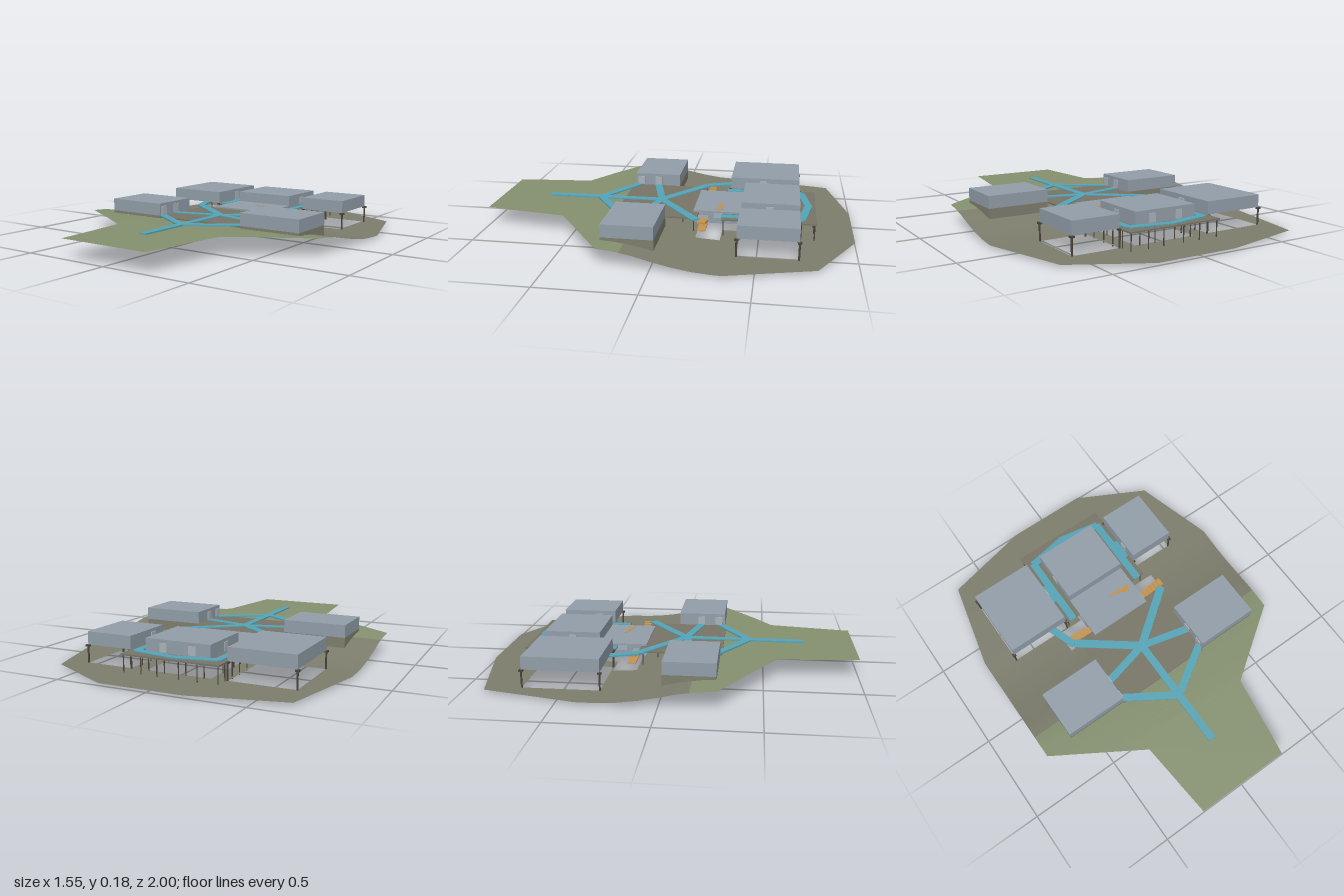
import * as THREE from 'three';

const mat = (name, color, side = THREE.FrontSide) => {
  const m = new THREE.MeshStandardMaterial({ color, side });
  m.name = name;
  return m;
};

// Piecewise-linear lookup in [[key, value], ...]
function lookup(table, k) {
  for (let i = 1; i < table.length; i++) {
    const [k0, v0] = table[i - 1], [k1, v1] = table[i];
    if (k <= k1) return v0 + (v1 - v0) * Math.max(0, (k - k0) / (k1 - k0));
  }
  return table[table.length - 1][1];
}

const LEFT_EDGE = [[-1, -0.19], [-0.89, -0.67], [-0.4, -0.78], [0.28, -0.78], [0.57, -0.31], [1, -0.27]];
const RIGHT_EDGE = [[-1, 0.26], [-0.8, 0.64], [-0.35, 0.77], [0.27, 0.73], [0.55, 0.33], [1, 0.26]];
const SLOPE = [[-1, 0.012], [-0.3, 0.012], [-0.2, 0.018], [-0.1, 0.032], [0, 0.052], [0.1, 0.075],
  [0.2, 0.089], [0.3, 0.096], [0.45, 0.102], [1, 0.102]];
const height = z => lookup(SLOPE, z);

// Openings in the ground: x0, x1, z0, z1
const HOLES = [
  [-0.62, -0.27, 0, 0.27], [0.27, 0.62, 0, 0.27],
  [-0.62, -0.27, -0.71, -0.31], [0.27, 0.53, -0.71, -0.4],
  [-0.18, 0.18, -0.71, -0.3], [-0.33, 0.33, -0.3, -0.17],
];

// Ground between two z values, sliced into strips that skip the openings
function groundGeometry(zMin, zMax) {
  const cuts = [zMin, zMax, ...HOLES.flatMap(h => [h[2], h[3]]),
    ...LEFT_EDGE.map(p => p[0]), ...RIGHT_EDGE.map(p => p[0])];
  for (let i = 0; i <= 32; i++) cuts.push(-0.35 + i * 0.025);
  const zs = [...new Set(cuts.map(z => +z.toFixed(4)))].filter(z => z >= zMin && z <= zMax).sort((a, b) => a - b);
  const pos = [], nor = [];
  const put = (x, z) => {
    pos.push(x, height(z), z);
    const n = new THREE.Vector3(0, 1, -(height(z + 0.03) - height(z - 0.03)) / 0.06).normalize();
    nor.push(n.x, n.y, n.z);
  };
  for (let i = 1; i < zs.length; i++) {
    const z0 = zs[i - 1], z1 = zs[i], mid = (z0 + z1) / 2;
    const bounds = [[lookup(LEFT_EDGE, z0), lookup(LEFT_EDGE, z1)]];
    HOLES.filter(h => h[2] < mid && h[3] > mid).sort((a, b) => a[0] - b[0])
      .forEach(h => bounds.push([h[0], h[0]], [h[1], h[1]]));
    bounds.push([lookup(RIGHT_EDGE, z0), lookup(RIGHT_EDGE, z1)]);
    for (let b = 0; b < bounds.length; b += 2) {
      const [a0, a1] = bounds[b], [b0, b1] = bounds[b + 1];
      put(a0, z0); put(a1, z1); put(b1, z1);
      put(a0, z0); put(b1, z1); put(b0, z0);
    }
  }
  const g = new THREE.BufferGeometry();
  g.setAttribute('position', new THREE.Float32BufferAttribute(pos, 3));
  g.setAttribute('normal', new THREE.Float32BufferAttribute(nor, 3));
  return g;
}

export function createModel() {
  const model = new THREE.Group();
  const grass = mat('grass green', 0x84906f, THREE.DoubleSide);
  const earth = mat('earth brown', 0x7d7d6d, THREE.DoubleSide);
  const deckMat = mat('deck brown', 0x777466);
  const blueGrey = mat('building blue grey', 0x919da8);
  const teal = mat('path teal', 0x55a3b5);
  const orange = mat('stair orange', 0xc2924f);
  const dark = mat('post dark brown', 0x4a453c);
  const pale = mat('door pale grey', 0xa9b2b8);

  const add = (name, geometry, material) => {
    const m = new THREE.Mesh(geometry, material);
    m.name = name;
    model.add(m);
    return m;
  };
  const box = (name, material, x0, x1, y0, y1, z0, z1) => {
    const m = add(name, new THREE.BoxGeometry(x1 - x0, y1 - y0, z1 - z0), material);
    m.position.set((x0 + x1) / 2, (y0 + y1) / 2, (z0 + z1) / 2);
    return m;
  };

  // Ground
  add('lowerGround', groundGeometry(-1, 0.15), earth);
  add('upperGround', groundGeometry(0.15, 1), grass);

  // Main buildings
  const blocks = [[-0.62, -0.27, 0, 0.27], [0.27, 0.62, 0, 0.27],
    [-0.62, -0.27, -0.71, -0.31], [0.27, 0.53, -0.71, -0.4], [-0.18, 0.18, -0.71, -0.4]];
  for (const [x0, x1, z0, z1] of blocks) box('building', blueGrey, x0, x1, 0.108, 0.177, z0, z1);

  // Skirts under the two front buildings, meeting the slope
  const skirt = new THREE.Shape();
  skirt.moveTo(0, 0.108);
  for (let i = 0; i <= 9; i++) skirt.lineTo(-i * 0.03, height(i * 0.03));
  skirt.lineTo(-0.27, 0.108);
  for (const s of [-1, 1]) {
    for (const x of [0.27, 0.62]) {
      const side = add('foundationSide', new THREE.ShapeGeometry(skirt), earth);
      side.rotation.y = Math.PI / 2;
      side.position.x = s * x;
    }
    const c = s * 0.445;
    box('foundationBack', earth, c - 0.175, c + 0.175, 0.048, 0.108, 0, 0.004);
    box('foundationFront', earth, c - 0.175, c + 0.175, 0.094, 0.108, 0.266, 0.27);
  }

  // Decks
  box('frontDeck', deckMat, -0.27, 0.27, 0.1, 0.108, -0.17, 0.28);
  box('backDeck', deckMat, -0.27, 0.27, 0.1, 0.108, -0.8, -0.71);
  for (const s of [-1, 1]) {
    box('sideDeck', deckMat, s * 0.225 - 0.045, s * 0.225 + 0.045, 0.1, 0.108, -0.71, -0.3);
  }

  // Sunken hall between the decks
  box('hallRoof', blueGrey, -0.18, 0.18, 0.11, 0.118, -0.4, -0.14);
  box('hallFloor', blueGrey, -0.18, 0.18, 0.051, 0.058, -0.4, -0.14);
  for (const s of [-1, 1]) {
    const wall = (y0, y1, z0, z1) =>
      box('hallWall', blueGrey, s * 0.177 - 0.003, s * 0.177 + 0.003, y0, y1, z0, z1);
    wall(0.058, 0.11, -0.4, -0.31);
    wall(0.058, 0.08, -0.31, -0.25);
    wall(0.058, 0.11, -0.25, -0.22);
    wall(0.095, 0.11, -0.22, -0.14);

    // Stairs descending into the hall
    const steps = 8;
    for (let i = 0; i < steps; i++) {
      const x = s * (0.315 - i * 0.024), y = 0.105 - i * 0.0062;
      box('stairStep', orange, x - 0.0125, x + 0.0125, y - 0.009, y, -0.222, -0.178);
    }
    box('stairLanding', orange, s * 0.235 - 0.09, s * 0.235 + 0.09, 0.055, 0.06, -0.222, -0.178);
  }
  // Angled ramp strip on the hall roof
  const strip = new THREE.Shape([[0.01, 0.295], [0.14, 0.255], [0.15, 0.292]].map(p => new THREE.Vector2(...p)));
  const ramp = add('rampStrip', new THREE.ExtrudeGeometry(strip, { depth: 0.003, bevelEnabled: false }), orange);
  ramp.rotation.x = -Math.PI / 2;
  ramp.position.y = 0.117;

  // Walkways
  const path = (width, ...pts) => {
    for (let i = 1; i < pts.length; i++) {
      const [x0, z0] = pts[i - 1], [x1, z1] = pts[i];
      const m = add('walkway', new THREE.BoxGeometry(width, 0.008, Math.hypot(x1 - x0, z1 - z0) + 0.01), teal);
      m.position.set((x0 + x1) / 2, 0.109, (z0 + z1) / 2);
      m.rotation.y = Math.atan2(x1 - x0, z1 - z0);
    }
  };
  path(0.042, [0, 0.715], [0, 0.06]);
  path(0.042, [-0.31, -0.17], [-0.36, -0.31]);
  for (const s of [-1, 1]) {
    path(0.042, [0, 0.42], [s * 0.265, 0.25]);
    path(0.042, [0, 0.065], [s * 0.265, 0.13]);
    path(0.046, [0, 0.065], [s * 0.3, -0.165]);
    path(0.042, [s * 0.225, -0.3], [s * 0.225, -0.72], [0, -0.76]);
    path(0.03, [s * 0.25, -0.56], [s * 0.25, -0.45]);
  }

  // Doors facing the walkways
  const door = (x, z) => box('door', pale, x - 0.004, x + 0.004, 0.113, 0.16, z - 0.02, z + 0.02);
  for (const s of [-1, 1]) {
    door(s * 0.268, 0.13);
    door(s * 0.268, 0.235);
    door(s * 0.268, -0.5);
    door(s * 0.18, -0.55);
    const x = s * 0.08;
    box('backDoor', pale, x - 0.02, x + 0.02, 0.113, 0.16, -0.713, -0.706);
  }

  // Posts under the raised buildings and decks
  const post = (x, z, r = 0.003) => {
    const m = add('post', new THREE.CylinderGeometry(r, r, 0.106, 8), dark);
    m.position.set(x, 0.053, z);
  };
  for (const [x0, x1, z0, z1] of blocks.slice(2, 4)) {
    for (const x of [x0, x1]) for (const z of [z0, z1]) {
      post(x, z, 0.005);
      box('postHead', dark, x - 0.01, x + 0.01, 0.098, 0.108, z - 0.01, z + 0.01);
    }
  }
  for (const x of [-0.26, -0.15, -0.05, 0.07, 0.16, 0.26]) {
    post(x, -0.79);
    post(x, -0.72);
  }
  for (const s of [-1, 1]) {
    for (const z of [-0.63, -0.55, -0.46, -0.31]) post(s * 0.255, z);
    for (const z of [-0.6, -0.48, -0.4]) post(s * 0.19, z);
    post(s * 0.25, -0.15);
    post(s * 0.15, -0.08);
  }
  return model;
}
